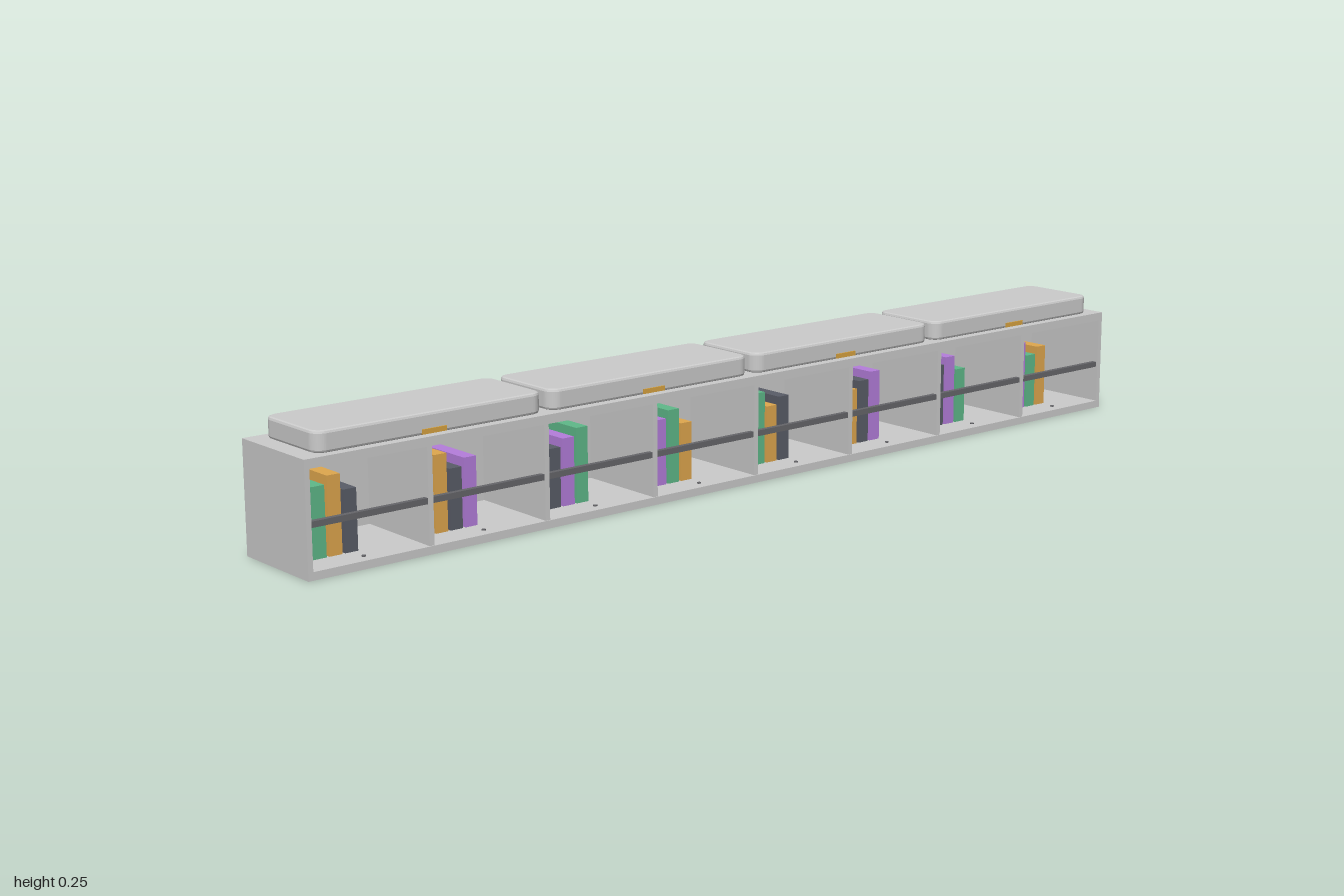
import * as THREE from 'three';

const material = (color) => new THREE.MeshStandardMaterial({ color });
const grey = material(0xcccccc);
const railGrey = material(0x777785);
const rodGrey = material(0x66666a);
const tagOrange = material(0xd9a441);
// purple, green, amber, charcoal
const bookColors = [0xb57edc, 0x5fb98a, 0xe0a84e, 0x5a5d68].map(material);

const BAYS = 8;
const PITCH = 2 / BAYS;
const FLOOR = 0.015;

// Box given by its minimum and maximum corners
function box(name, mat, [x0, y0, z0], [x1, y1, z1]) {
  const mesh = new THREE.Mesh(new THREE.BoxGeometry(x1 - x0, y1 - y0, z1 - z0), mat);
  mesh.position.set((x0 + x1) / 2, (y0 + y1) / 2, (z0 + z1) / 2);
  mesh.name = name;
  return mesh;
}

// Flat cushion: rounded rectangle in plan with bevelled rims
function cushionGeometry(width, depth, height) {
  const bevel = 0.005, r = 0.018;
  const w = width / 2 - bevel, d = depth / 2 - bevel;
  const shape = new THREE.Shape();
  shape.moveTo(-w + r, -d);
  shape.absarc(w - r, -d + r, r, -Math.PI / 2, 0);
  shape.absarc(w - r, d - r, r, 0, Math.PI / 2);
  shape.absarc(-w + r, d - r, r, Math.PI / 2, Math.PI);
  shape.absarc(-w + r, -d + r, r, Math.PI, Math.PI * 1.5);
  const geometry = new THREE.ExtrudeGeometry(shape, {
    depth: height - 2 * bevel, bevelThickness: bevel, bevelSize: bevel, bevelSegments: 2, curveSegments: 6,
  });
  return geometry.translate(0, 0, bevel).rotateX(-Math.PI / 2);
}

export function createModel() {
  const model = new THREE.Group();
  model.name = 'bookshelfBench';

  // Cabinet shell
  const cabinet = new THREE.Group();
  cabinet.name = 'cabinet';
  cabinet.add(
    box('bottomPanel', grey, [-1, 0, -0.1], [1, FLOOR, 0.1]),
    box('topPanel', grey, [-1, 0.193, -0.1], [1, 0.21, 0.1]),
    box('backPanel', grey, [-0.99, FLOOR, -0.1], [0.99, 0.193, -0.092]),
    box('backRail', railGrey, [-0.99, 0.145, -0.0995], [0.99, 0.17, -0.0912]),
    box('rightSide', grey, [-1, FLOOR, -0.1], [-0.99, 0.193, 0.1]),
    box('leftSide', grey, [0.99, FLOOR, -0.1], [1, 0.193, 0.1]),
  );
  for (let i = 1; i < BAYS; i++) {
    const x = -1 + i * PITCH;
    cabinet.add(box('divider', grey, [x - 0.005, FLOOR, -0.092], [x + 0.005, 0.193, 0.098]));
  }
  model.add(cabinet);

  // Each bay: retaining bar, floor stud and four books
  const studGeometry = new THREE.CylinderGeometry(0.004, 0.004, 0.002, 12);
  for (let i = 0; i < BAYS; i++) {
    const bay = new THREE.Group();
    bay.name = 'bay';
    const x = -1 + i * PITCH;
    bay.add(box('retainingBar', rodGrey, [x + 0.005, 0.09, 0.086], [x + PITCH - 0.005, 0.101, 0.096]));

    const stud = new THREE.Mesh(studGeometry, rodGrey);
    stud.name = 'floorStud';
    stud.position.set(x + PITCH / 2, FLOOR + 0.001, 0.075);
    bay.add(stud);

    for (let j = 0; j < 4; j++) {
      const bx = x + 0.016 + j * 0.0315;
      const top = 0.128 + 0.015 * ((i + j) % 3);
      bay.add(box('book', bookColors[(i + j) % 4], [bx, FLOOR, -0.075], [bx + 0.026, top, 0.04]));
    }
    model.add(bay);
  }

  // Seat cushions with a small front tag
  const geometry = cushionGeometry(0.472, 0.168, 0.039);
  for (let i = 0; i < 4; i++) {
    const x = -0.734 + i * 0.488;
    const cushion = new THREE.Mesh(geometry, grey);
    cushion.name = 'cushion';
    cushion.position.set(x, 0.211, 0.005);
    model.add(cushion, box('cushionTag', tagOrange, [x - 0.025, 0.213, 0.084], [x + 0.025, 0.222, 0.092]));
  }

  return model;
}
